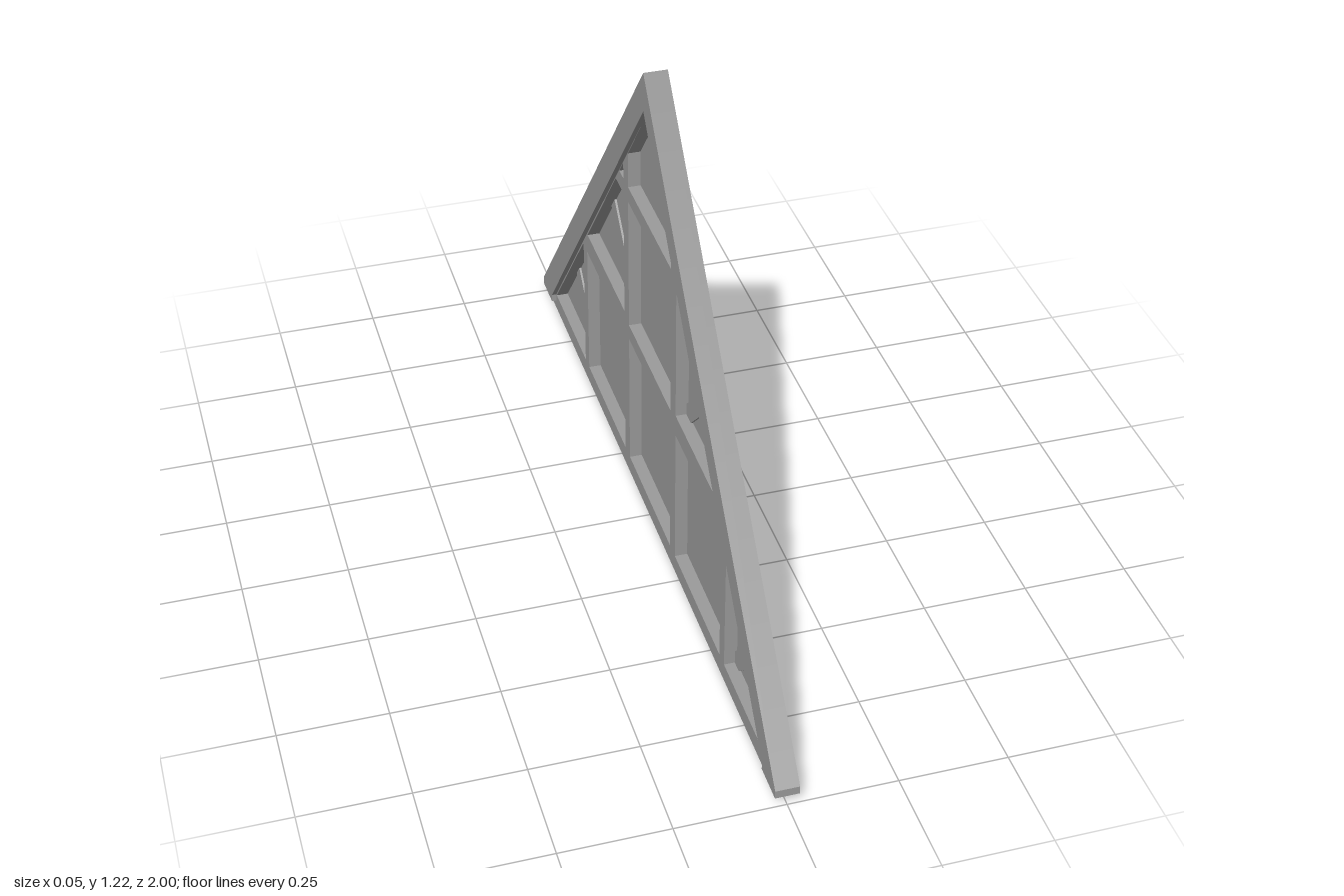
import * as THREE from 'three';

const material = new THREE.MeshStandardMaterial({ color: 0x9c9c9c, side: THREE.DoubleSide });

const FRAME_X = -0.015; // plane of the flat frame sheet
const INFILL_X = 0.015; // plane of the infill panels

const toVectors = (points) => points.map(([z, y]) => new THREE.Vector2(z, y));
const mirrored = (points) => points.map(([z, y]) => [-z, y]).reverse();

// Flat sheet from a [z, y] outline at a given x, with optional openings.
function sheet(name, points, x, openings = []) {
  const shape = new THREE.Shape(toVectors(points));
  shape.holes = openings.map((hole) => new THREE.Path(toVectors(hole)));
  const geometry = new THREE.ShapeGeometry(shape).rotateY(-Math.PI / 2).translate(x, 0, 0);
  const mesh = new THREE.Mesh(geometry, material);
  mesh.name = name;
  return mesh;
}

// Walls joining the edge of a frame opening to its infill panel.
function reveal(points) {
  const positions = [];
  points.forEach(([z0, y0], i) => {
    const [z1, y1] = points[(i + 1) % points.length];
    const a = [FRAME_X, y0, z0], b = [FRAME_X, y1, z1];
    const c = [INFILL_X, y1, z1], d = [INFILL_X, y0, z0];
    positions.push(...a, ...d, ...c, ...a, ...c, ...b);
  });
  const geometry = new THREE.BufferGeometry();
  geometry.setAttribute('position', new THREE.Float32BufferAttribute(positions, 3));
  geometry.computeVertexNormals();
  const mesh = new THREE.Mesh(geometry, material);
  mesh.name = 'reveal';
  return mesh;
}

// Pair of rafters with level-cut feet; shading runs smoothly over the ridge.
function rafters() {
  const shape = new THREE.Shape(toVectors([
    [1, 0.025], [1, 0.045], [0, 1.22], [-1, 0.045], [-1, 0.025],
    [-0.91, 0.025], [-0.91, 0.045], [0, 1.125], [0.91, 0.045], [0.91, 0.025],
  ]));
  const geometry = new THREE.ExtrudeGeometry(shape, { depth: 0.055, bevelEnabled: false });
  geometry.rotateY(-Math.PI / 2).translate(0.0275, 0, 0);
  const { position, normal } = geometry.attributes;
  for (let i = 0; i < position.count; i++) {
    if (position.getY(i) > 1.2 && Math.abs(normal.getX(i)) < 0.5) normal.setXYZ(i, 0, 1, 0);
  }
  const mesh = new THREE.Mesh(geometry, material);
  mesh.name = 'rafters';
  return mesh;
}

// Thin diagonal brace rising outward at 45 degrees from (z, y).
function brace(name, side, z, y, length) {
  const mesh = new THREE.Mesh(new THREE.BoxGeometry(0.01, 0.045, length), material);
  const reach = (length / 2) * Math.SQRT1_2;
  mesh.position.set(INFILL_X, y + reach, side * (z + reach));
  mesh.rotation.x = -side * Math.PI / 4;
  mesh.name = name;
  return mesh;
}

export function createModel() {
  const model = new THREE.Group();
  model.name = 'gableTruss';
  model.add(rafters());

  // Openings between posts, beams and rafters
  const middle = [
    [[-0.175, 0.045], [0.175, 0.045], [0.175, 0.4], [-0.175, 0.4]],
    [[-0.175, 0.44], [0.175, 0.44], [0.175, 0.785], [-0.175, 0.785]],
    [[-0.175, 0.825], [0.175, 0.825], [0.175, 0.915], [0, 1.125], [-0.175, 0.915]],
  ];
  const outer = [
    [[0.215, 0.045], [0.565, 0.045], [0.565, 0.4], [0.215, 0.4]],
    [[0.6, 0.045], [0.905, 0.045], [0.605, 0.4], [0.6, 0.4]],
    [[0.215, 0.455], [0.558, 0.455], [0.283, 0.785], [0.215, 0.785]],
    [[0.215, 0.825], [0.25, 0.825], [0.215, 0.867]],
  ];
  const openings = [...middle, ...outer, ...outer.map(mirrored)];

  // Flat frame of rail, posts and beams
  model.add(sheet('frame', [[-0.95, 0], [0.95, 0], [0.95, 0.045], [0, 1.17], [-0.95, 0.045]],
    FRAME_X, openings));

  // Infill panels set off from the frame
  for (const opening of openings) {
    const infill = new THREE.Group();
    infill.name = 'infillPanel';
    infill.add(sheet('panelFace', opening, INFILL_X), reveal(opening));
    model.add(infill);
  }

  // Braces, mirrored about the ridge
  for (const side of [-1, 1]) {
    const end = side < 0 ? 'Back' : 'Front';
    model.add(brace('lowerBrace' + end, side, 0.584, 0.031, 0.27));
    model.add(brace('upperBrace' + end, side, 0.214, 0.451, 0.29));
  }
  return model;
}
